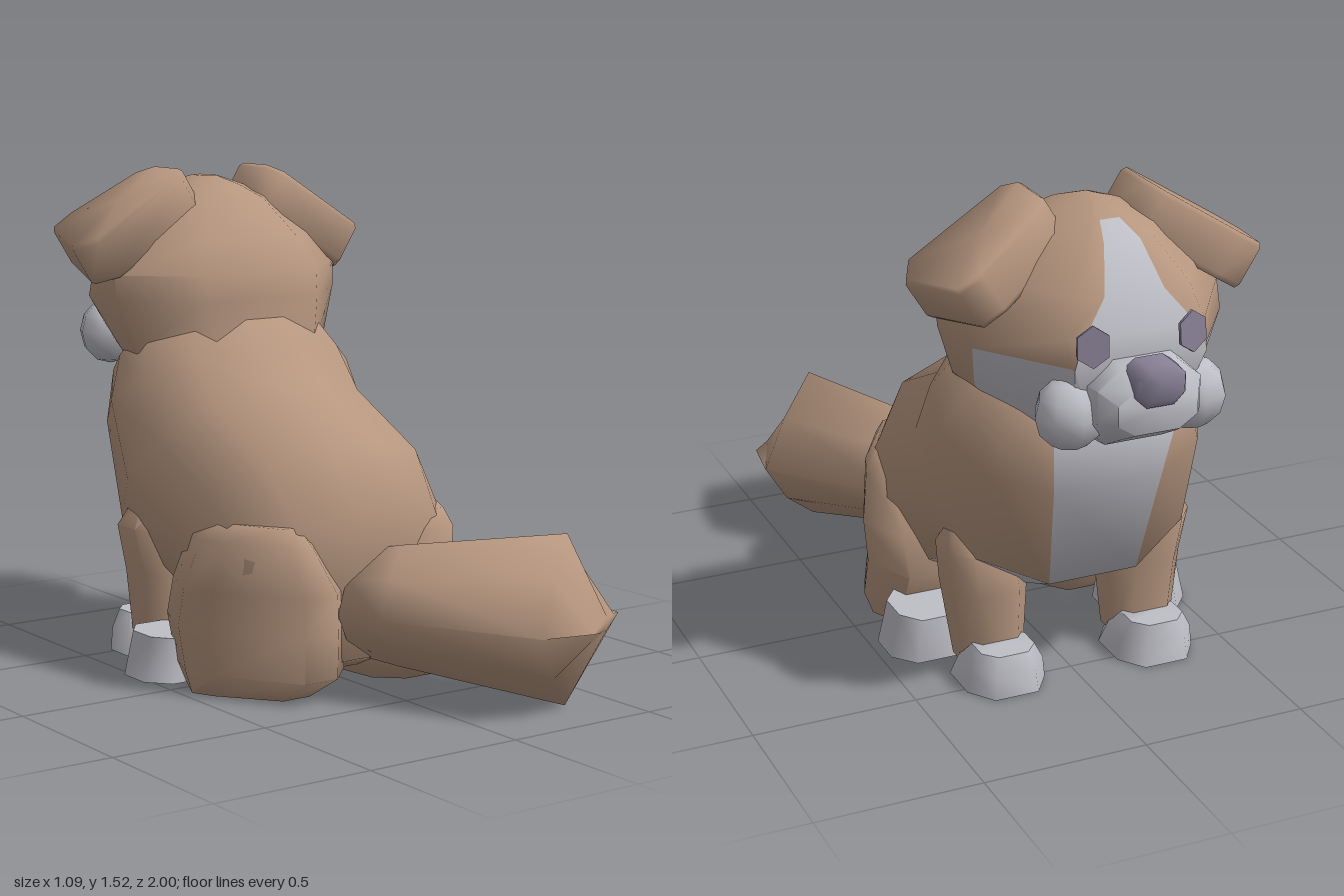
import * as THREE from 'three';
import { toCreasedNormals } from 'three/addons/utils/BufferGeometryUtils.js';

const mat = (name, color) => Object.assign(new THREE.MeshStandardMaterial({ color }), { name });
const V = (x, y, z) => new THREE.Vector3(x, y, z);

// Rounded octagon in unit coordinates, used for most cross-sections
const OCT = [[1, 0.45], [0.55, 1], [-0.55, 1], [-1, 0.45], [-1, -0.45], [-0.55, -1], [0.55, -1], [1, -0.45]];
// Splayed plan for the haunches: narrow at the rear, wide at the outer front
const SPLAY = [[0.82, 0.05], [0.08, 1], [-0.45, 1], [-0.88, 0.6], [-1, -0.3], [-0.45, -1], [0.7, -1], [1, -0.35]];

// Turn a half profile [along, width] into a closed symmetric loop
const both = (half) => [...half, ...half.slice().reverse().map(([a, w]) => [a, -w])];

// Skin a list of equal-length rings, cap both ends, and sort faces by colour
function loft(rings, mats, pick = () => 0, crease = 1) {
  const tris = mats.map(() => []);
  const n = rings[0].length;
  for (let i = 0; i < rings.length - 1; i++) {
    for (let j = 0; j < n; j++) {
      const k = (j + 1) % n;
      const a = rings[i][j], b = rings[i][k], c = rings[i + 1][k], d = rings[i + 1][j];
      tris[pick(i, j)].push([a, b, c], [a, c, d]);
    }
  }
  const cap = (ring, flip, m) => {
    const mid = ring.reduce((s, p) => s.add(p), V(0, 0, 0)).divideScalar(n);
    ring.forEach((p, j) => {
      const q = ring[(j + 1) % n];
      tris[m].push(flip ? [mid, q, p] : [mid, p, q]);
    });
  };
  cap(rings[0], true, pick(0, n - 1));
  cap(rings.at(-1), false, pick(rings.length - 2, n >> 1));

  // Face everything outward whichever way the rings run
  const volume = tris.flat().reduce((s, [a, b, c]) => s + a.dot(b.clone().cross(c)), 0);
  const geo = new THREE.BufferGeometry();
  const pos = [];
  tris.forEach((list, m) => {
    const start = pos.length / 3;
    for (const [a, b, c] of list) {
      for (const p of volume < 0 ? [a, c, b] : [a, b, c]) pos.push(p.x, p.y, p.z);
    }
    geo.addGroup(start, pos.length / 3 - start, m);
  });
  geo.setAttribute('position', new THREE.Float32BufferAttribute(pos, 3));
  return new THREE.Mesh(toCreasedNormals(geo, crease), mats);
}

// Horizontal rings from rows [y, xMin, xMax, zMin, zMax]
const levels = (rows, side, plan = OCT) => rows.map(([y, x0, x1, z0, z1]) =>
  plan.map(([u, v]) => V(side * ((x0 + x1) / 2 + u * (x1 - x0) / 2), y, (z0 + z1) / 2 + v * (z1 - z0) / 2)));

// Upright octagon rings from rows [z, halfWidth, yMin, yMax]
const slices = (rows) => rows.map(([z, w, y0, y1]) =>
  OCT.map(([u, v]) => V(u * w, (y0 + y1) / 2 + v * (y1 - y0) / 2, z)));

export function createModel() {
  const brown = mat('brownFur', 0xb6967f);
  const pale = mat('paleFur', 0xbebec6);
  const dark = mat('darkNose', 0x878095);

  const model = new THREE.Group();
  const dog = new THREE.Group();
  dog.name = 'sittingDog';
  dog.position.x = -0.025;
  model.add(dog);
  const add = (name, mesh) => { mesh.name = name; dog.add(mesh); return mesh; };

  // Torso: sloped sections [bellyZ, bellyY, backZ, backY, halfWidth, chestStripe]
  const torsoRings = [
    [0.2, 0.04, 0.34, 0.1, 0.22, 0.08],
    [0.0, 0.08, 0.38, 0.55, 0.395, 0.13],
    [-0.33, 0.23, 0.28, 0.73, 0.415, 0.15],
    [-0.59, 0.34, -0.02, 0.88, 0.415, 0.14],
    [-0.68, 0.67, -0.13, 0.99, 0.41, 0.17],
    [-0.72, 0.84, -0.2, 1.07, 0.345, 0.19],
    [-0.65, 0.95, -0.3, 1.12, 0.26, 0.16],
  ].map(([fz, fy, bz, by, w, stripe]) =>
    both([[-1, stripe / w], [-0.7, 0.8], [-0.1, 1], [0.4, 0.94], [0.82, 0.64], [1, 0.2]]).map(([u, v]) =>
      V(v * w, (fy + by) / 2 + u * (by - fy) / 2, (fz + bz) / 2 + u * (bz - fz) / 2)));
  const belly = (i, j) => i > 0 && (j === 11 || (i < 3 && (j === 0 || j === 10)));
  add('torso', loft(torsoRings, [brown, pale], (i, j) => (belly(i, j) ? 1 : 0), 1.2));

  // Head: level rings [y, backZ, frontZ, halfWidth, blazeWidth, cheekLine]
  const headRings = [
    [0.87, -0.46, -0.78, 0.25, 0.1, 0.4],
    [0.96, -0.18, -0.84, 0.35, 0.14, 0.48],
    [1.12, -0.2, -0.87, 0.405, 0.2, 0.6],
    [1.2, -0.21, -0.86, 0.41, 0.17, 0.55],
    [1.3, -0.27, -0.82, 0.35, 0.09, 0.52],
    [1.42, -0.35, -0.74, 0.2, 0.055, 0.52],
    [1.46, -0.41, -0.66, 0.1, 0.03, 0.52],
    [1.485, -0.48, -0.58, 0.03, 0.005, 0.52],
  ].map(([y, b, f, w, blaze, t]) =>
    both([[0, 0.5], [0.3, 1], [t, 0.95], [0.97, 0.5], [1, blaze / w]]).map(([u, v]) => V(v * w, y, b + (f - b) * u)));
  const face = (i, j) => ((i < 2 && j >= 2 && j <= 6) || (j === 4 && i < 6) || (i === 0 && j === 9) ? 1 : 0);
  add('head', loft(headRings, [brown, pale], face));

  // Muzzle and nose
  add('muzzle', loft(slices([
    [-0.74, 0.17, 0.86, 1.13], [-0.83, 0.16, 0.87, 1.14], [-0.92, 0.155, 0.92, 1.13], [-0.975, 0.12, 0.95, 1.08],
  ]), [pale]));
  add('nose', loft(slices([[-0.91, 0.075, 1.06, 1.15], [-0.985, 0.075, 1.03, 1.15], [-1.0, 0.065, 1.05, 1.14]]), [dark]));

  // Ear outline: [distance along the slope, z]
  const earShape = [[0, -0.42], [0.04, -0.37], [0.385, -0.375], [0.435, -0.46], [0.36, -0.69], [0.28, -0.695],
    [0.04, -0.62], [0, -0.56]];
  const slope = 0.56, c = Math.cos(slope), s = Math.sin(slope);

  for (const side of [1, -1]) {
    const name = side > 0 ? 'left' : 'right';

    // Floppy ear: thick slab tilted down and outward, edges slightly rounded
    const earRings = [[0, 0.96], [0.015, 1], [0.13, 1], [0.145, 0.96]].map(([d, k]) => earShape.map(([u, z]) => {
      const a = 0.21 + (u - 0.21) * k;
      return V(side * (0.16 + a * c - d * s), 1.52 - a * s - d * c, -0.53 + (z + 0.53) * k);
    }));
    add(name + 'Ear', loft(earRings, [brown], undefined, 1.8));

    // Cheek puff
    const cheek = add(name + 'Cheek', new THREE.Mesh(new THREE.SphereGeometry(1, 8, 6), pale));
    cheek.scale.set(0.105, 0.105, 0.095);
    cheek.position.set(side * 0.185, 0.975, -0.81);

    // Eye plate, turned slightly outward
    const eye = add(name + 'Eye', new THREE.Mesh(new THREE.CylinderGeometry(0.06, 0.06, 0.009, 6), dark));
    eye.rotation.set(Math.PI / 2 + 0.1, -side * 0.2, 0, 'YXZ');
    eye.scale.x = 0.85;
    eye.position.set(side * 0.15, 1.185, -0.876);

    // Front leg and paw
    add(name + 'FrontLeg', loft(levels([
      [0.04, 0.15, 0.34, -0.48, -0.29], [0.28, 0.135, 0.37, -0.49, -0.24],
      [0.42, 0.16, 0.39, -0.5, -0.27], [0.48, 0.2, 0.36, -0.45, -0.32],
    ], side), [brown]));
    add(name + 'FrontPaw', loft(levels([
      [0, 0.12, 0.37, -0.6, -0.31], [0.07, 0.13, 0.36, -0.59, -0.36], [0.125, 0.16, 0.33, -0.575, -0.42],
    ], side), [pale]));

    // Haunch and hind paw
    add(name + 'Haunch', loft(levels([
      [0, 0.08, 0.44, -0.05, 0.3], [0.07, 0.03, 0.465, -0.09, 0.4], [0.2, 0.01, 0.465, -0.14, 0.385],
      [0.32, 0.03, 0.465, -0.1, 0.4], [0.47, 0.14, 0.435, -0.02, 0.37], [0.52, 0.19, 0.38, 0.04, 0.33],
    ], side, SPLAY), [brown], undefined, 1.2));
    add(name + 'HindPaw', loft(levels([
      [0, 0.23, 0.495, -0.3, -0.05], [0.135, 0.25, 0.465, -0.29, -0.06],
    ], side), [pale]));
  }

  // Tail: soft diamond section swinging to one side, [distance, sideways radius, height radius]
  const tailRings = [[0, 0.17, 0.16], [0.14, 0.2, 0.185], [0.64, 0.255, 0.255], [0.76, 0.145, 0.02]]
    .map(([d, rp, ry]) => Array.from({ length: 8 }, (_, i) => {
      const k = i % 2 ? 0.8 : 1;
      const p = k * rp * Math.cos(i * Math.PI / 4);
      return V(0.57 * d + 0.82 * p, 0.258 + k * ry * Math.sin(i * Math.PI / 4), 0.29 + 0.82 * d - 0.57 * p);
    }));
  add('tail', loft(tailRings, [brown], undefined, 1.8));

  return model;
}
